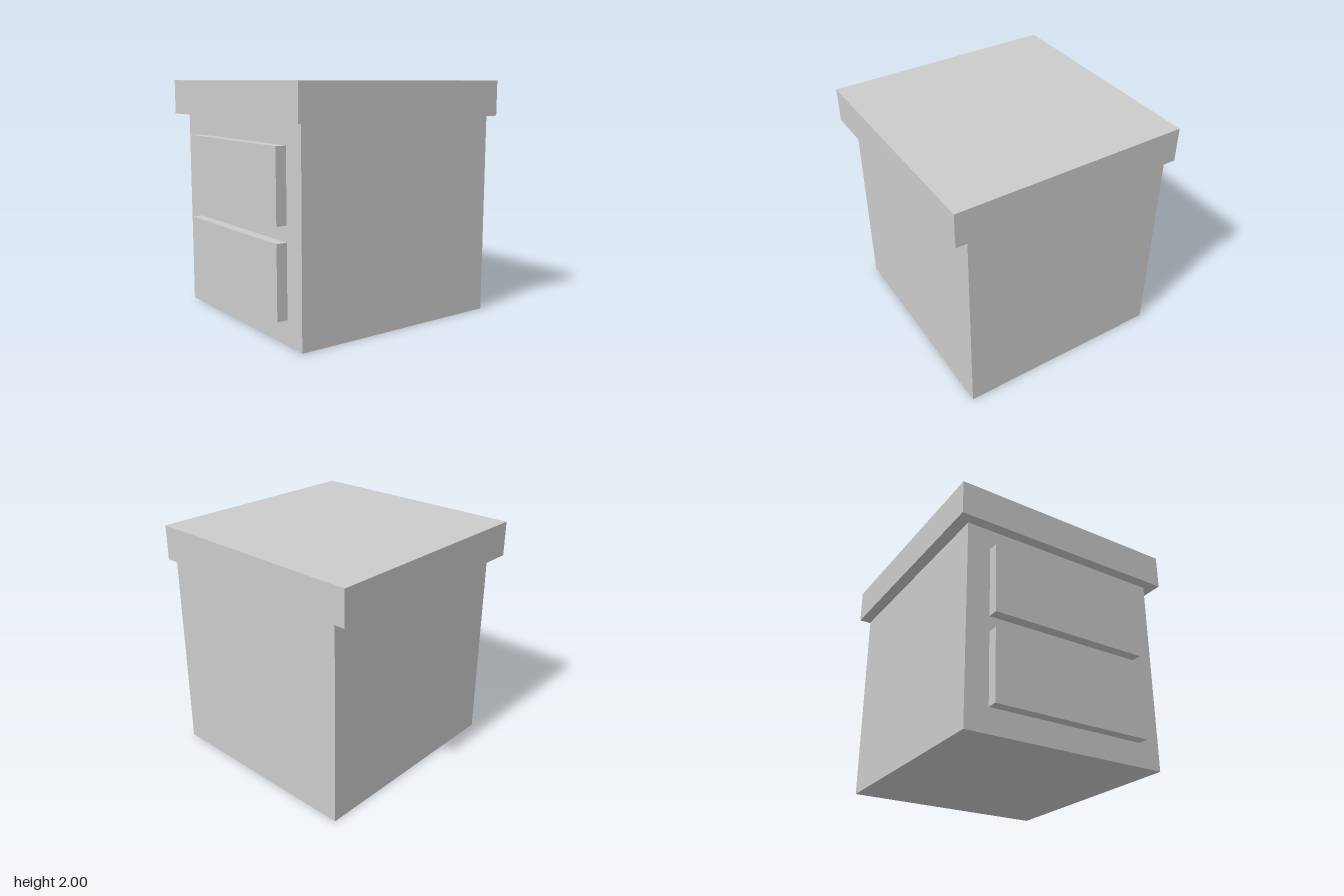
import * as THREE from 'three';

export function createModel() {
  const group = new THREE.Group();
  group.name = 'bedsideCabinet';
  const material = new THREE.MeshStandardMaterial({ color: 0xcccccc, flatShading: true });

  // Box given by its lower and upper limits on each axis
  function addBox(name, [x0, x1], [y0, y1], [z0, z1]) {
    const mesh = new THREE.Mesh(new THREE.BoxGeometry(x1 - x0, y1 - y0, z1 - z0), material);
    mesh.position.set((x0 + x1) / 2, (y0 + y1) / 2, (z0 + z1) / 2);
    mesh.name = name;
    group.add(mesh);
  }

  // Main carcass and overhanging top
  addBox('body', [-0.9, 0.9], [0, 1.705], [-0.99, 0.91]);
  addBox('top', [-1, 1], [1.705, 2], [-1, 1]);

  // Two raised drawer fronts
  addBox('lowerDrawer', [-0.7, 0.7], [0.205, 0.805], [0.9, 1]);
  addBox('upperDrawer', [-0.7, 0.7], [0.935, 1.53], [0.9, 1]);

  return group;
}
